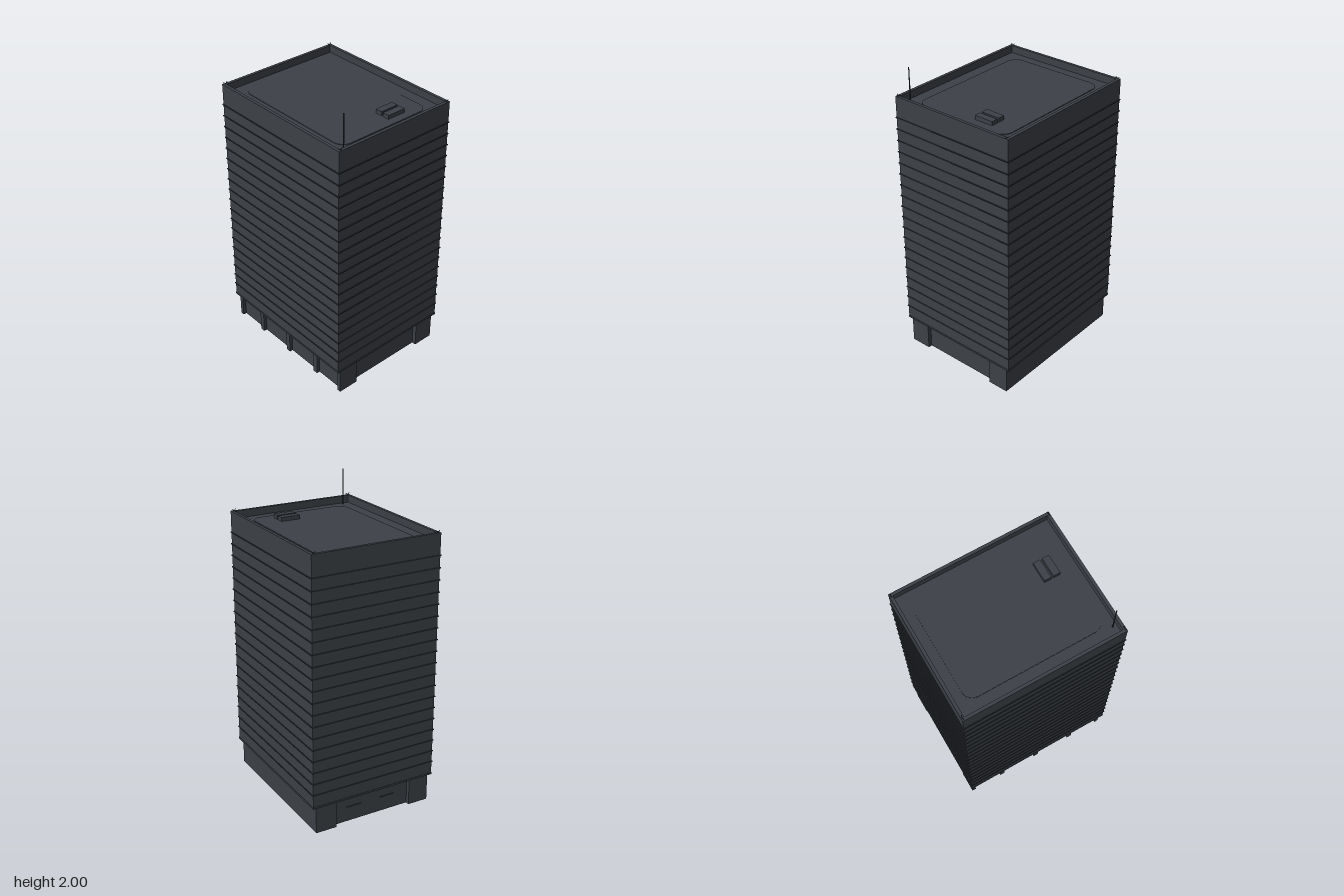
import * as THREE from 'three';

export function createModel() {
  const group = new THREE.Group();
  const wall = new THREE.MeshStandardMaterial({ color: 0x3c4147 });
  wall.name = 'slate facade';
  const trim = new THREE.MeshStandardMaterial({ color: 0x2e3237 });
  trim.name = 'dark trim';

  // Box given by its minimum and maximum on each axis
  function box(name, x0, x1, y0, y1, z0, z1, material = wall) {
    const mesh = new THREE.Mesh(new THREE.BoxGeometry(x1 - x0, y1 - y0, z1 - z0), material);
    mesh.position.set((x0 + x1) / 2, (y0 + y1) / 2, (z0 + z1) / 2);
    mesh.name = name;
    group.add(mesh);
    return mesh;
  }

  const X = 0.437, Z = 0.533, bottom = 0.185, roof = 1.762, top = 1.81;
  const bx = 0.413, bz = 0.525;

  // Tower and parapet
  box('tower', -X, X, bottom, roof, -Z, Z);
  const t = 0.02;
  for (const s of [-1, 1]) {
    const xs = [s * X, s * (X - t)].sort((a, b) => a - b);
    const zs = [s * Z, s * (Z - t)].sort((a, b) => a - b);
    box('parapetSide', xs[0], xs[1], roof, top, -Z, Z);
    box('parapetEnd', -X + t, X - t, roof, top, zs[0], zs[1]);
  }

  // Thin ledges at each storey
  for (let i = 0; i < 19; i++) {
    const y = 0.277 + i * 0.0774;
    box('storeyLedge', -X - 0.005, X + 0.005, y - 0.003, y + 0.003, -Z - 0.005, Z + 0.005, trim);
  }
  box('bottomLedge', -X - 0.003, X + 0.003, bottom - 0.002, bottom + 0.01, -Z - 0.003, Z + 0.003);

  // Hollow ground floor: plain left wall, recessed walls elsewhere
  const h = bottom;
  box('leftBaseWall', bx - 0.02, bx, 0, h, -bz, bz);
  box('rightBaseWall', -0.39, -0.375, 0, h, -0.5, 0.5);
  for (const s of [-1, 1]) {
    const [a, b] = s > 0 ? [0.483, 0.498] : [-0.498, -0.483];
    box(s > 0 ? 'frontLobbyWall' : 'backLobbyWall', -0.39, bx - 0.02, 0, h, a, b);
    const [c, d] = s > 0 ? [0.498, bz] : [-bz, -0.498];
    box('cornerPier', -bx, -0.272, 0, h, c, d);
    box('cornerPier', 0.27, bx, 0, h, c, d);
  }

  // Columns along the right side
  for (const z of [-0.28, 0, 0.28]) {
    box('sideColumn', -bx, -0.38, 0, h, z - 0.017, z + 0.017);
  }

  // Slits on the back wall
  for (const x of [-0.12, 0.125]) {
    box('backSlit', x - 0.05, x + 0.05, 0.096, 0.104, -0.502, -0.497, trim);
  }

  // Rounded roof deck
  const w = 0.34, d = 0.45, r = 0.07;
  const deck = new THREE.Shape();
  deck.moveTo(-w + r, -d);
  deck.lineTo(w - r, -d);
  deck.absarc(w - r, -d + r, r, -Math.PI / 2, 0);
  deck.absarc(w - r, d - r, r, 0, Math.PI / 2);
  deck.absarc(-w + r, d - r, r, Math.PI / 2, Math.PI);
  deck.absarc(-w + r, -d + r, r, Math.PI, Math.PI * 1.5);
  const deckGeometry = new THREE.ExtrudeGeometry(deck, { depth: 0.004, bevelEnabled: false, curveSegments: 6 });
  const deckMesh = new THREE.Mesh(deckGeometry.rotateX(-Math.PI / 2), wall);
  deckMesh.position.y = roof;
  deckMesh.name = 'roofDeck';
  group.add(deckMesh);

  // Roof vents
  for (const z of [0.312, 0.372]) {
    box('roofVent', 0.07, 0.2, roof, 1.792, z - 0.023, z + 0.023);
  }

  // Corner lamps on the parapet
  for (const sx of [-1, 1]) for (const sz of [-1, 1]) {
    for (const tilt of [-1, 1]) {
      const lamp = new THREE.Mesh(new THREE.CylinderGeometry(0.002, 0.002, 0.02, 6), trim);
      lamp.position.set(sx * 0.418 + tilt * 0.006, top + 0.006, sz * 0.524);
      lamp.rotation.z = -tilt * 0.8;
      lamp.name = 'cornerLamp';
      group.add(lamp);
    }
  }

  // Antenna
  const antenna = new THREE.Mesh(new THREE.CylinderGeometry(0.003, 0.004, 2 - roof, 8), trim);
  antenna.position.set(-0.36, (2 + roof) / 2, 0.485);
  antenna.name = 'antenna';
  group.add(antenna);

  return group;
}
